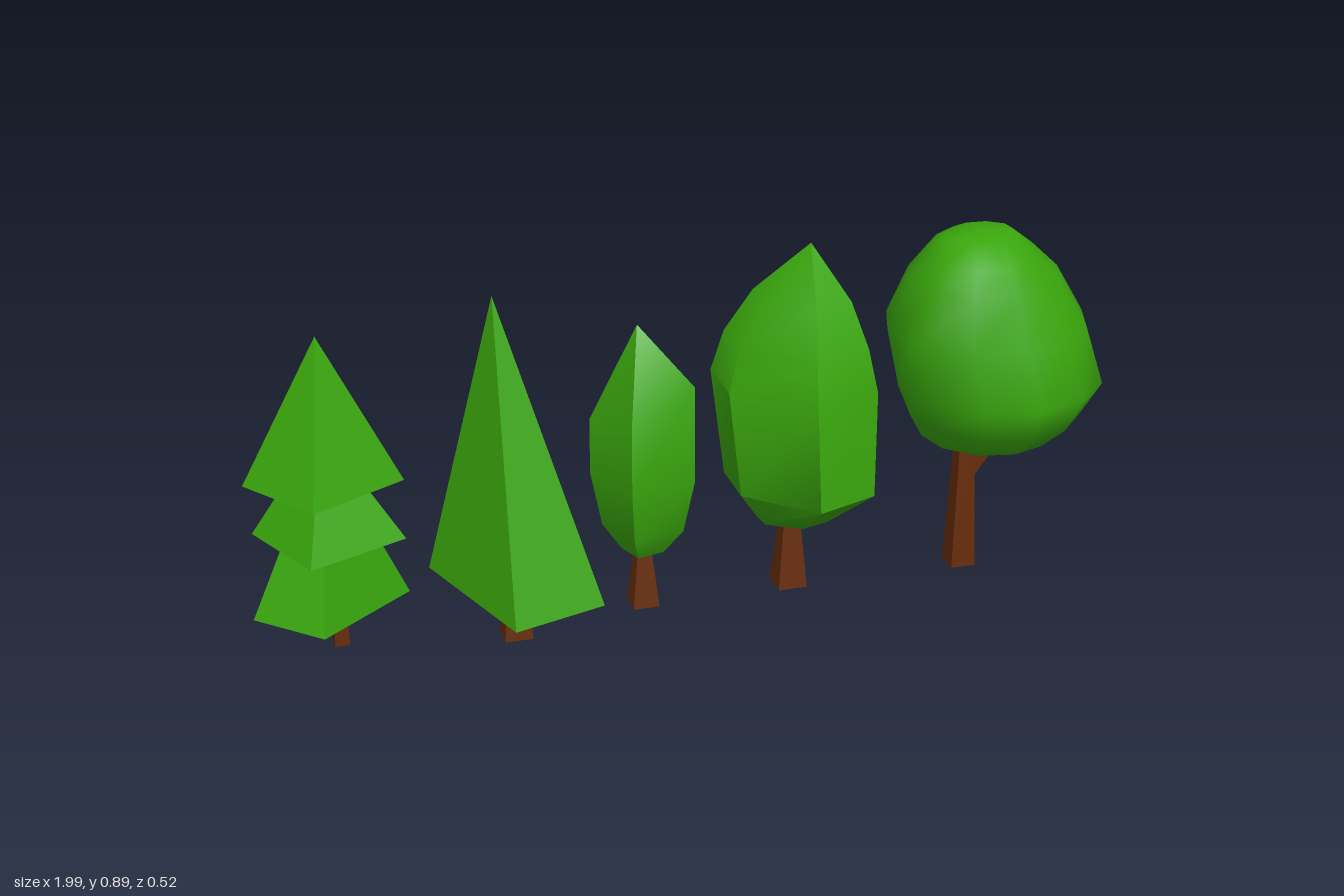
import * as THREE from 'three';
import { toCreasedNormals } from 'three/addons/utils/BufferGeometryUtils.js';

const green = new THREE.MeshStandardMaterial({ color: 0x3aa70d });
const brown = new THREE.MeshStandardMaterial({ color: 0x662c0a });

// Skins rings of points (listed upwards, each clockwise from above); zero-area faces are dropped
function loft(rings, crease) {
  const pos = [];
  const tri = (...p) => {
    const [a, b, c] = p;
    const area = new THREE.Vector3().subVectors(b, a).cross(new THREE.Vector3().subVectors(c, a)).length();
    if (area > 1e-7) p.forEach((v) => pos.push(v.x, v.y, v.z));
  };
  for (let i = 0; i < rings.length - 1; i++) {
    const lo = rings[i], hi = rings[i + 1], n = lo.length;
    for (let j = 0; j < n; j++) {
      const k = (j + 1) % n;
      tri(lo[k], lo[j], hi[j]);
      tri(lo[k], hi[j], hi[k]);
    }
  }
  const geo = new THREE.BufferGeometry();
  geo.setAttribute('position', new THREE.Float32BufferAttribute(pos, 3));
  return toCreasedNormals(geo, crease);
}

// Scales one outline (offsets from a centre) per level: [y, scale, tilt x, tilt z, shift x, shift z]
function scaledRings(cx, cz, outline, levels) {
  return levels.map(([y, s, tx = 0, tz = 0, dx = 0, dz = 0]) =>
    outline.map(([x, z]) => new THREE.Vector3(
      cx + dx + x * s, y + (tx * x + tz * z) * s, cz + dz + z * s)));
}

function addPart(group, name, geo, material) {
  const mesh = new THREE.Mesh(geo, material);
  mesh.name = name;
  group.add(mesh);
  return mesh;
}

// Tapered square stem between two points, given its bottom and top widths
function addStem(group, name, from, to, wBottom, wTop) {
  const a = new THREE.Vector3(...from), b = new THREE.Vector3(...to);
  const dir = b.clone().sub(a);
  const geo = new THREE.CylinderGeometry(wTop * Math.SQRT1_2, wBottom * Math.SQRT1_2, dir.length(), 4);
  geo.rotateY(Math.PI / 4);
  const mesh = addPart(group, name, toCreasedNormals(geo, 0.5), brown);
  mesh.position.copy(a).add(b).multiplyScalar(0.5);
  mesh.quaternion.setFromUnitVectors(new THREE.Vector3(0, 1, 0), dir.normalize());
}

function addTree(root, name) {
  const tree = new THREE.Group();
  tree.name = name;
  root.add(tree);
  return tree;
}

export function createModel() {
  const root = new THREE.Group();
  root.name = 'treeRow';

  // Tiered pine: [bottom y, top y, top scale, corners], each tier turned a little
  const pine = addTree(root, 'tieredPine');
  addStem(pine, 'trunk', [-0.805, 0.035, -0.035], [-0.805, 0.2, -0.035], 0.033, 0.03);
  [
    [0.13, 0.32, 0.52, [[0.178, -0.02], [-0.04, 0.16], [-0.178, 0.025], [-0.02, -0.155]]],
    [0.3, 0.45, 0.42, [[0.164, 0.06], [-0.06, 0.164], [-0.16, -0.06], [0.06, -0.164]]],
    [0.43, 0.77, 0, [[0.17, 0.035], [-0.045, 0.16], [-0.175, -0.03], [0.03, -0.155]]],
  ].forEach(([y0, y1, top, corners], i) => {
    const rings = scaledRings(-0.819, -0.04, corners, [[y0, 0], [y0, 1], [y1, top], [y1, 0]]);
    addPart(pine, 'foliageTier' + (i + 1), loft(rings, 0.2), green);
  });

  // Pyramid pine with a slightly tilted base
  const pyramid = addTree(root, 'pyramidPine');
  addStem(pyramid, 'trunk', [-0.405, 0, -0.028], [-0.405, 0.16, -0.028], 0.066, 0.04);
  addPart(pyramid, 'foliage', loft(scaledRings(-0.4, -0.03,
    [[-0.175, -0.15], [0.085, -0.21], [0.17, 0.145], [-0.045, 0.195]],
    [[0.121, 0], [0.121, 1, 0.04, -0.06], [0.827, 0, 0, 0, -0.035, 0]]), 0.2), green);

  // Slim tree
  const slim = addTree(root, 'slimTree');
  addStem(slim, 'trunk', [-0.1, 0.035, -0.035], [-0.1, 0.2, -0.035], 0.062, 0.028);
  addPart(slim, 'foliage', loft(scaledRings(-0.1, -0.04,
    [[-0.11, -0.045], [0.08, -0.11], [0.107, 0.07], [-0.052, 0.112]],
    [[0.17, 0], [0.17, 0.4], [0.23, 0.78], [0.36, 1], [0.54, 0.99, 0.45],
      [0.72, 0, 0, 0, -0.005, -0.01]]), 0.8), green);

  // Broad tree with a leaning tip
  const broad = addTree(root, 'broadTree');
  addStem(broad, 'trunk', [0.258, 0.035, -0.038], [0.258, 0.24, -0.038], 0.07, 0.034);
  addPart(broad, 'foliage', loft(scaledRings(0.26, -0.02,
    [[-0.16, -0.14], [-0.03, -0.168], [0.135, -0.15], [0.16, 0.11], [-0.005, 0.175], [-0.163, 0.015]],
    [[0.205, 0], [0.205, 0.42, 0, 0.15], [0.3, 0.91, 0, 0, 0.01, 0.02], [0.55, 1],
      [0.65, 0.86, 0, 0, 0.005, -0.005], [0.755, 0.58, 0, 0, 0.018, -0.01],
      [0.877, 0, 0, 0, 0.038, -0.02]]), 0.8), green);

  // Round tree with a forked trunk
  const round = addTree(root, 'roundTree');
  addStem(round, 'trunk', [0.69, 0.035, -0.03], [0.69, 0.42, -0.03], 0.06, 0.032);
  addStem(round, 'branch', [0.69, 0.265, -0.03], [0.785, 0.39, -0.03], 0.034, 0.03);
  // Crown cross-sections: [y, x min, x max, z min, z max, stretch along one diagonal]
  const crown = [
    [0.335, 0.7, 0.7, -0.03, -0.03, 0], [0.345, 0.64, 0.77, -0.1, 0.03, 0],
    [0.385, 0.575, 0.9, -0.185, 0.15, 0.04], [0.45, 0.535, 0.945, -0.222, 0.23, 0.04],
    [0.53, 0.5, 0.997, -0.24, 0.26, 0.04], [0.66, 0.48, 0.965, -0.262, 0.225, 0.05],
    [0.78, 0.52, 0.888, -0.205, 0.195, 0.09], [0.842, 0.565, 0.82, -0.16, 0.16, 0.14],
    [0.88, 0.6, 0.77, -0.07, 0.07, 0.14], [0.887, 0.69, 0.69, 0, 0, 0],
  ].map(([y, x0, x1, z0, z1, stretch]) => Array.from({ length: 12 }, (_, i) => {
    const a = (i / 12) * Math.PI * 2;
    const r = 0.5 * (1 - stretch * Math.sin(2 * a));
    return new THREE.Vector3(
      (x0 + x1) / 2 + r * Math.cos(a) * (x1 - x0), y, (z0 + z1) / 2 + r * Math.sin(a) * (z1 - z0));
  }));
  addPart(round, 'foliage', loft(crown, 1.2), green);

  return root;
}
